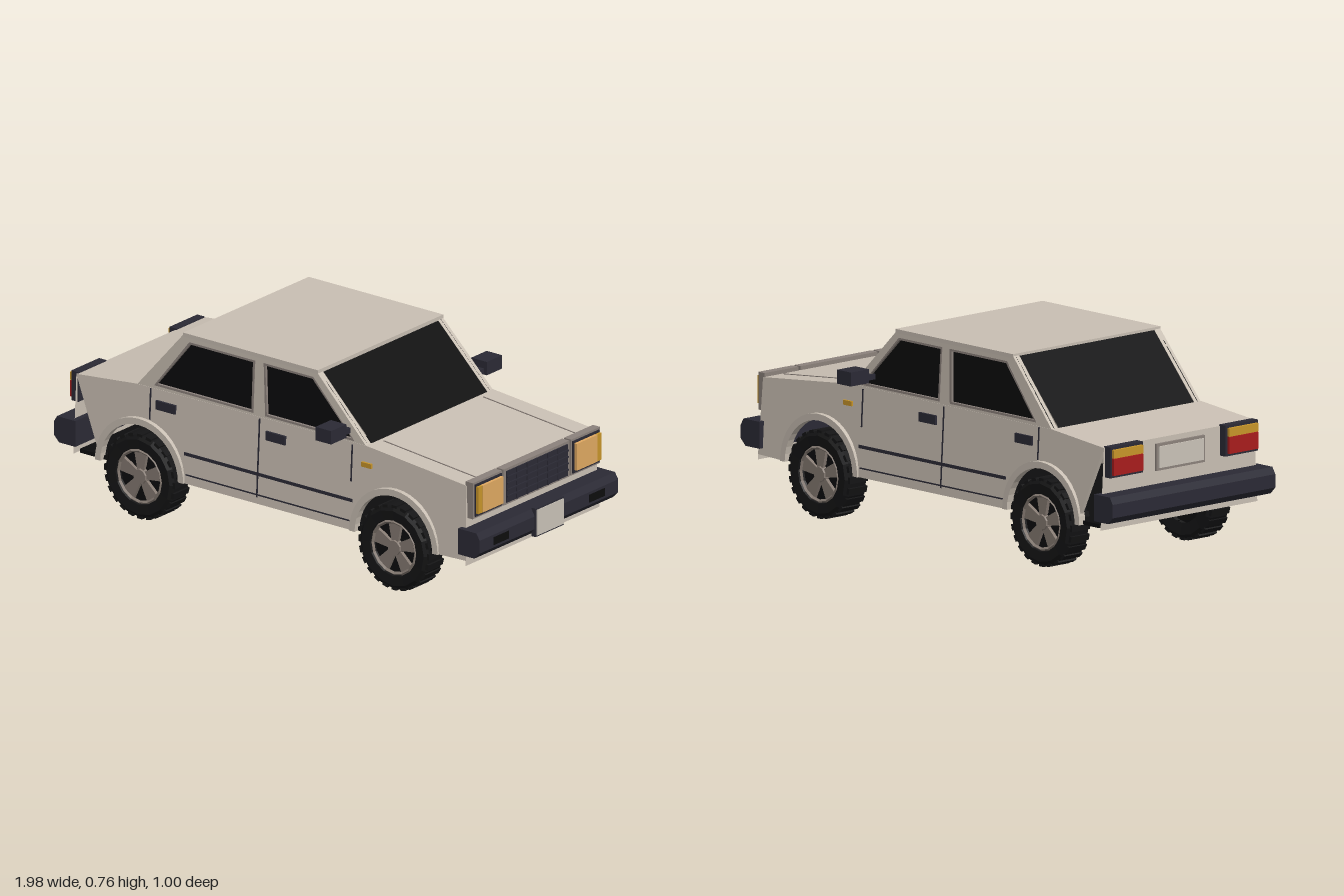
import * as THREE from 'three';

const mat = (color, flatShading = false) =>
  new THREE.MeshStandardMaterial({ color, flatShading, side: THREE.DoubleSide });
const paint = mat(0xc9bfb3), dark = mat(0x2b2a35), glass = mat(0x0b0b0c), rubber = mat(0x141415, true);
const alloy = mat(0x857a72, true), lamp = mat(0xe0a962), amber = mat(0xc8952a), red = mat(0xa81c1c);
const under = mat(0x0d0d0e), trim = mat(0x8c827c), plate = mat(0xcac3b8);

// Half width of the body and of the cabin at a given height
const bodyW = y => 0.39 - 0.055 * (y - 0.19);
const cabinW = y => 0.371 - 0.02 * (y - 0.51);
const AXLES = [-0.61, 0.57];

function add(parent, name, geometry, material, x = 0, y = 0, z = 0) {
  const m = new THREE.Mesh(geometry, material);
  m.name = name;
  m.position.set(x, y, z);
  parent.add(m);
  return m;
}

// Box given by its lowest and highest corners
function block(parent, name, material, x0, x1, y0, y1, z0, z1) {
  return add(parent, name, new THREE.BoxGeometry(x1 - x0, y1 - y0, z1 - z0), material,
    (x0 + x1) / 2, (y0 + y1) / 2, (z0 + z1) / 2);
}

const outline = pts => new THREE.Shape(pts.map(p => new THREE.Vector2(...p)));

// Side panel whose outer face follows the half width
function panel(shape, depth, width, offset = 0) {
  const g = new THREE.ExtrudeGeometry(shape, { depth, bevelEnabled: false, curveSegments: 10 });
  const p = g.attributes.position;
  for (let i = 0; i < p.count; i++) p.setZ(i, p.getZ(i) - depth + offset + width(p.getY(i)));
  g.computeVertexNormals();
  return g;
}

// Skin spanning the car along a side profile
function skin(profile, width) {
  const v = [];
  for (let i = 0; i < profile.length - 1; i++) {
    const [x0, y0] = profile[i], [x1, y1] = profile[i + 1];
    const a = [x0, y0, width(y0)], b = [x1, y1, width(y1)];
    const c = [x1, y1, -width(y1)], d = [x0, y0, -width(y0)];
    v.push(...a, ...b, ...c, ...a, ...c, ...d);
  }
  const g = new THREE.BufferGeometry();
  g.setAttribute('position', new THREE.Float32BufferAttribute(v, 3));
  g.computeVertexNormals();
  return g;
}

function wheel() {
  const g = new THREE.Group();
  g.name = 'wheel';
  const profile = [[0.1, -0.045], [0.145, -0.053], [0.161, -0.04], [0.161, 0.04], [0.145, 0.053],
    [0.108, 0.05], [0.1, 0.02]].map(p => new THREE.Vector2(...p));
  add(g, 'tyre', new THREE.LatheGeometry(profile, 16).rotateX(Math.PI / 2), rubber);
  // Tread blocks
  for (let i = 0; i < 24; i++) {
    const a = i / 24 * Math.PI * 2;
    const t = add(g, 'tread', new THREE.BoxGeometry(0.012, 0.024, 0.09), rubber,
      0.158 * Math.cos(a), 0.158 * Math.sin(a), 0);
    t.rotation.z = a;
  }
  add(g, 'wheelDisc', new THREE.CylinderGeometry(0.102, 0.102, 0.05, 16).rotateX(Math.PI / 2), under);
  add(g, 'rim', new THREE.TorusGeometry(0.1, 0.007, 4, 16), alloy, 0, 0, 0.042);
  add(g, 'hub', new THREE.CylinderGeometry(0.028, 0.035, 0.025, 10).rotateX(Math.PI / 2), alloy, 0, 0, 0.034);
  // Tapered spokes
  const spoke = new THREE.ExtrudeGeometry(outline([[0.02, -0.014], [0.1, -0.03], [0.1, 0.03], [0.02, 0.014]]),
    { depth: 0.014, bevelEnabled: false });
  for (let i = 0; i < 5; i++) add(g, 'spoke', spoke, alloy, 0, 0, 0.026).rotation.z = Math.PI / 2 + i * Math.PI * 0.4;
  return g;
}

// Everything on one flank
function side() {
  const g = new THREE.Group();
  g.name = 'side';

  // Lower body with open wheel arches
  const body = new THREE.Shape();
  body.moveTo(-0.92, 0.19);
  for (const x of AXLES) body.absarc(x, 0.185, 0.183, Math.PI, 0, true);
  [[0.9, 0.19], [0.89, 0.475], [0.42, 0.52], [-0.64, 0.512], [-0.92, 0.485]].forEach(p => body.lineTo(...p));
  add(g, 'bodySide', panel(body, 0.015, bodyW), paint);

  // Cabin frame with window openings, and glass behind it
  const cabinPts = [[-0.64, 0.51], [0.425, 0.515], [0.19, 0.75], [-0.43, 0.75]];
  const windows = [
    [[-0.56, 0.525], [-0.1, 0.525], [-0.095, 0.728], [-0.4, 0.728]],
    [[-0.045, 0.525], [0.37, 0.525], [0.175, 0.728], [-0.055, 0.728]]];
  const cabin = outline(cabinPts);
  for (const w of windows) {
    cabin.holes.push(new THREE.Path(w.map(p => new THREE.Vector2(...p))));
    const seal = outline(w);
    const cx = (w[0][0] + w[1][0] + w[2][0] + w[3][0]) / 4;
    seal.holes.push(new THREE.Path(w.map(([x, y]) =>
      new THREE.Vector2(cx + (x - cx) * 0.95, 0.627 + (y - 0.627) * 0.92))));
    add(g, 'windowSeal', panel(seal, 0.01, cabinW, 0.002), trim);
  }
  add(g, 'cabinFrame', panel(cabin, 0.03, cabinW), paint);
  add(g, 'sideGlass', panel(outline(cabinPts), 0.004, cabinW, -0.012), glass);

  // Wheels and arch flares
  for (const x of AXLES) {
    const flare = new THREE.Shape();
    flare.absarc(0, 0, 0.205, 0, Math.PI, false);
    flare.absarc(0, 0, 0.18, Math.PI, 0, true);
    add(g, 'archFlare', new THREE.ExtrudeGeometry(flare, { depth: 0.03, bevelEnabled: false, curveSegments: 10 }),
      paint, x, 0.185, 0.368);
    const w = wheel();
    w.position.set(x, 0.165, 0.35);
    g.add(w);
  }

  // Door seams, sill strip, handles and indicator
  const seam = (pts, name) => add(g, name, panel(outline(pts), 0.004, bodyW, 0.002), dark);
  for (const [x, y] of [[-0.07, 0.21], [0.36, 0.37], [-0.575, 0.39]])
    seam([[x - 0.003, y], [x + 0.003, y], [x + 0.003, 0.51], [x - 0.003, 0.51]], 'doorSeam');
  seam([[-0.41, 0.292], [0.37, 0.292], [0.37, 0.304], [-0.41, 0.304]], 'rubStrip');
  seam([[-0.4, 0.217], [0.36, 0.217], [0.36, 0.222], [-0.4, 0.222]], 'sillSeam');
  for (const x of [-0.5, 0.01]) block(g, 'doorHandle', dark, x - 0.045, x + 0.045, 0.438, 0.472, 0.36, 0.384);
  block(g, 'sideIndicator', amber, 0.41, 0.455, 0.44, 0.458, 0.36, 0.384);

  // Door mirror
  block(g, 'mirrorArm', dark, 0.31, 0.35, 0.552, 0.572, 0.355, 0.42);
  block(g, 'mirror', dark, 0.29, 0.362, 0.548, 0.6, 0.41, 0.5);

  // Headlamp with corner lamp
  block(g, 'headlampFrame', trim, 0.885, 0.918, 0.35, 0.49, 0.202, 0.372);
  block(g, 'headlampSurround', dark, 0.9, 0.924, 0.358, 0.482, 0.208, 0.362);
  block(g, 'headlamp', lamp, 0.9, 0.936, 0.37, 0.474, 0.214, 0.335);
  block(g, 'cornerLamp', amber, 0.9, 0.934, 0.37, 0.474, 0.336, 0.36);
  block(g, 'fogLamp', under, 0.96, 0.978, 0.25, 0.28, 0.235, 0.325);

  // Tail lamp
  block(g, 'tailLampFrame', dark, -0.948, -0.915, 0.375, 0.49, 0.205, 0.368);
  block(g, 'tailLamp', red, -0.96, -0.92, 0.385, 0.447, 0.215, 0.36);
  block(g, 'rearIndicator', amber, -0.96, -0.92, 0.449, 0.48, 0.215, 0.36);
  return g;
}

// Bumper with chamfered outer edges
function bumper(parent, name, x, dir) {
  const s = outline([[0, 0.215], [0.075, 0.215], [0.1, 0.24], [0.1, 0.29], [0.085, 0.315], [0, 0.315]]
    .map(([a, y]) => [x + dir * a, y]));
  add(parent, name, new THREE.ExtrudeGeometry(s, { depth: 0.81, bevelEnabled: false }), dark, 0, 0, -0.405);
}

export function createModel() {
  const car = new THREE.Group();
  car.name = 'car';

  for (const s of [1, -1]) {
    const flank = side();
    flank.name = s > 0 ? 'leftSide' : 'rightSide';
    flank.scale.z = s;
    car.add(flank);
  }

  // Skins across the car
  add(car, 'bonnetAndNose', skin([[0.42, 0.52], [0.89, 0.475], [0.9, 0.17]], bodyW), paint);
  add(car, 'bootAndTail', skin([[-0.92, 0.18], [-0.92, 0.485], [-0.64, 0.512]], bodyW), paint);
  add(car, 'windscreen', skin([[0.19, 0.748], [0.425, 0.517]], () => 0.337), glass);
  add(car, 'rearWindow', skin([[-0.43, 0.748], [-0.64, 0.512]], () => 0.337), glass);
  block(car, 'roof', paint, -0.43, 0.195, 0.743, 0.758, -0.367, 0.367);
  block(car, 'floor', under, -0.9, 0.89, 0.185, 0.2, -0.378, 0.378);
  for (const x of AXLES) block(car, 'axle', under, x - 0.015, x + 0.015, 0.152, 0.176, -0.31, 0.31);

  // Bonnet and boot seams
  for (const z of [-0.29, 0.29]) {
    const a = block(car, 'bonnetSeam', trim, 0.44, 0.87, 0.497, 0.5, z - 0.002, z + 0.002);
    a.rotation.z = -Math.atan2(0.045, 0.47);
  }

  // Grille with bars
  block(car, 'grilleFrame', trim, 0.885, 0.918, 0.35, 0.49, -0.192, 0.192);
  block(car, 'grille', dark, 0.9, 0.922, 0.358, 0.48, -0.178, 0.178);
  for (let i = 1; i < 5; i++) block(car, 'grilleBar', dark, 0.91, 0.928, 0.355 + i * 0.025, 0.361 + i * 0.025, -0.178, 0.178);
  for (let i = -2; i < 3; i++) block(car, 'grillePost', dark, 0.91, 0.926, 0.358, 0.48, i * 0.06 - 0.003, i * 0.06 + 0.003);

  bumper(car, 'frontBumper', 0.876, 1);
  bumper(car, 'rearBumper', -0.9, -1);

  // Blank number plates
  block(car, 'frontPlateFrame', dark, 0.96, 0.98, 0.21, 0.32, -0.083, 0.083);
  block(car, 'frontPlate', plate, 0.965, 0.984, 0.216, 0.314, -0.077, 0.077);
  block(car, 'rearPlateFrame', trim, -0.93, -0.915, 0.365, 0.465, -0.12, 0.12);
  block(car, 'rearPlate', plate, -0.935, -0.915, 0.375, 0.455, -0.11, 0.11);
  return car;
}
